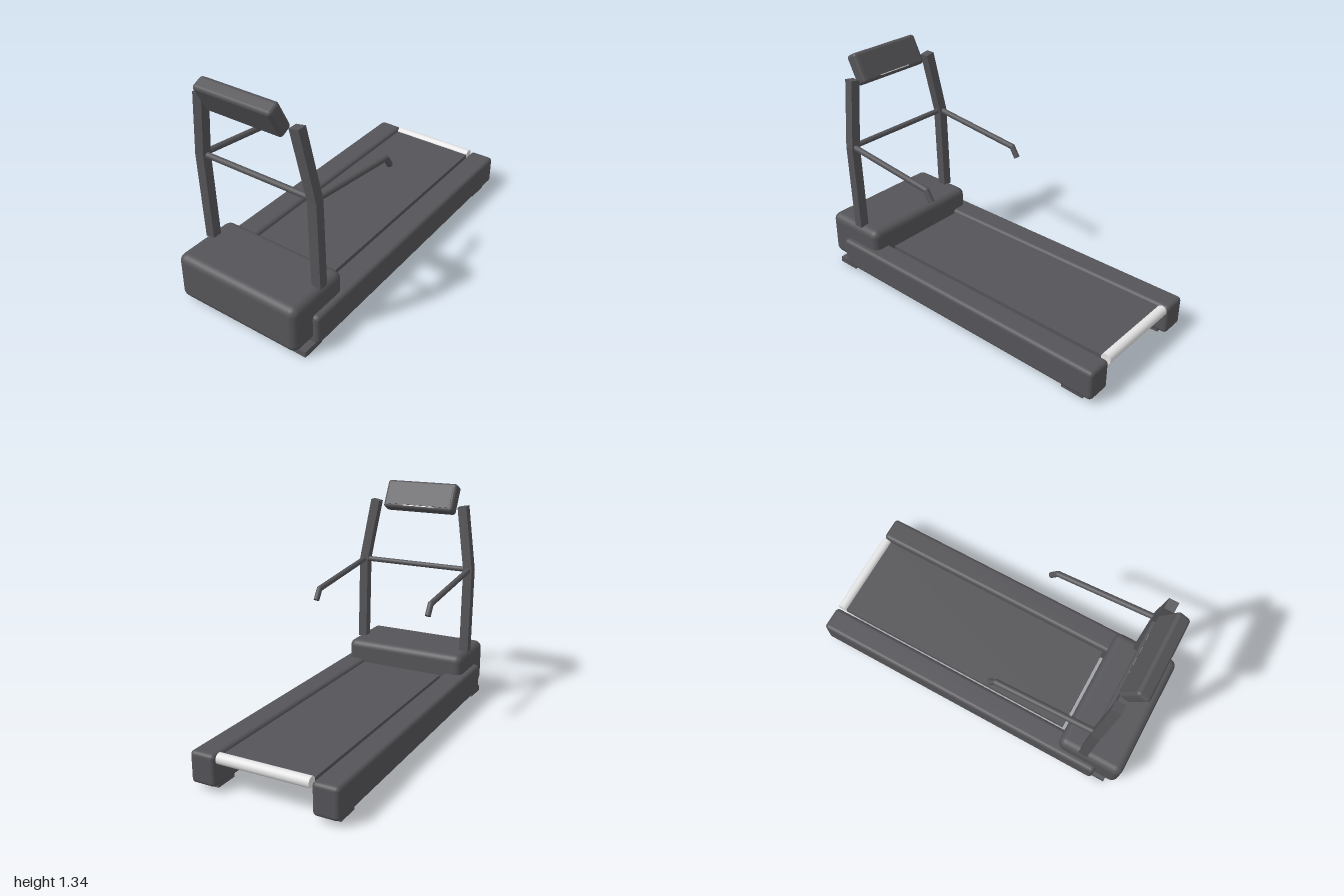
import * as THREE from 'three';
import { RoundedBoxGeometry } from 'three/addons/geometries/RoundedBoxGeometry.js';

const darkGrey = new THREE.MeshStandardMaterial({ color: 0x555559 });
darkGrey.name = 'darkGrey';
const lightMetal = new THREE.MeshStandardMaterial({ color: 0xe4e4e4 });
lightMetal.name = 'lightMetal';

function add(parent, name, geometry, material, x = 0, y = 0, z = 0) {
  const mesh = new THREE.Mesh(geometry, material);
  mesh.name = name;
  mesh.position.set(x, y, z);
  parent.add(mesh);
  return mesh;
}

// Round bar between two points
function bar(parent, name, a, b, radius, material = darkGrey) {
  const from = new THREE.Vector3(...a), to = new THREE.Vector3(...b);
  const dir = to.clone().sub(from);
  const mesh = add(parent, name, new THREE.CylinderGeometry(radius, radius, dir.length(), 20), material);
  mesh.position.copy(from).add(to).multiplyScalar(0.5);
  mesh.quaternion.setFromUnitVectors(new THREE.Vector3(0, 1, 0), dir.normalize());
  return mesh;
}

// Square post with one bend: a box whose three rings follow the post's line
function uprightGeometry(side) {
  const rings = [
    { x: 0.356, y: 0.32, z: 0.757, slope: 0 },
    { x: 0.356, y: 0.84, z: 0.774, slope: -0.09 },
    { x: 0.293, y: 1.221, z: 0.807, slope: 0.18 },
  ];
  const box = new THREE.BoxGeometry(0.056, 2, 0.054, 1, 2, 1);
  const p = box.attributes.position;
  for (let i = 0; i < p.count; i++) {
    const r = rings[Math.round(p.getY(i)) + 1];
    const x = p.getX(i);
    p.setXYZ(i, x + side * r.x, r.y + side * x * Math.max(r.slope, 0), p.getZ(i) + r.z);
  }
  const flat = box.toNonIndexed();
  flat.computeVertexNormals();
  return flat;
}

export function createModel() {
  const model = new THREE.Group();
  model.name = 'treadmill';

  // Motor housing
  add(model, 'motorHood', new RoundedBoxGeometry(0.78, 0.276, 0.4, 5, 0.045), darkGrey, 0, 0.189, 0.8);

  // Running deck and rear roller
  add(model, 'runningBelt', new THREE.BoxGeometry(0.528, 0.03, 1.535), darkGrey, 0, 0.184, -0.19);
  bar(model, 'rearRoller', [-0.265, 0.189, -0.969], [0.265, 0.189, -0.969], 0.03, lightMetal);

  for (const side of [-1, 1]) {
    const half = new THREE.Group();
    half.name = side > 0 ? 'leftSide' : 'rightSide';
    model.add(half);

    // Foot rail and floor pads
    add(half, 'sideRail', new RoundedBoxGeometry(0.148, 0.177, 1.86, 5, 0.024), darkGrey, side * 0.351, 0.119, -0.07);
    for (const z of [0.87, -0.868])
      add(half, 'floorPad', new THREE.BoxGeometry(0.095, 0.034, 0.133), darkGrey, side * 0.352, 0.017, z);

    // Upright post
    add(half, 'upright', uprightGeometry(side), darkGrey);

    // Handrail with bent-down grip
    const x = side * 0.357;
    bar(half, 'handrail', [x, 0.84, 0.77], [x, 0.77, 0.178], 0.017);
    add(half, 'handrailBend', new THREE.SphereGeometry(0.017, 20, 12), darkGrey, x, 0.77, 0.178);
    bar(half, 'handrailGrip', [x, 0.77, 0.178], [x, 0.71, 0.14], 0.017);
  }

  // Cross bar between the posts
  bar(model, 'crossBar', [-0.345, 0.84, 0.772], [0.345, 0.84, 0.772], 0.016);

  // Console, leaning with its display facing the runner
  const console_ = new THREE.Group();
  console_.name = 'console';
  console_.position.set(0, 1.251, 0.846);
  console_.rotation.x = 0.48;
  model.add(console_);
  add(console_, 'consoleCase', new RoundedBoxGeometry(0.468, 0.182, 0.082, 5, 0.02), darkGrey);
  add(console_, 'consoleDisplay', new THREE.BoxGeometry(0.424, 0.14, 0.006), darkGrey, 0, 0, -0.042);
  add(console_, 'consoleTrim', new THREE.BoxGeometry(0.22, 0.005, 0.006), lightMetal, 0, -0.0735, -0.0395);

  return model;
}
